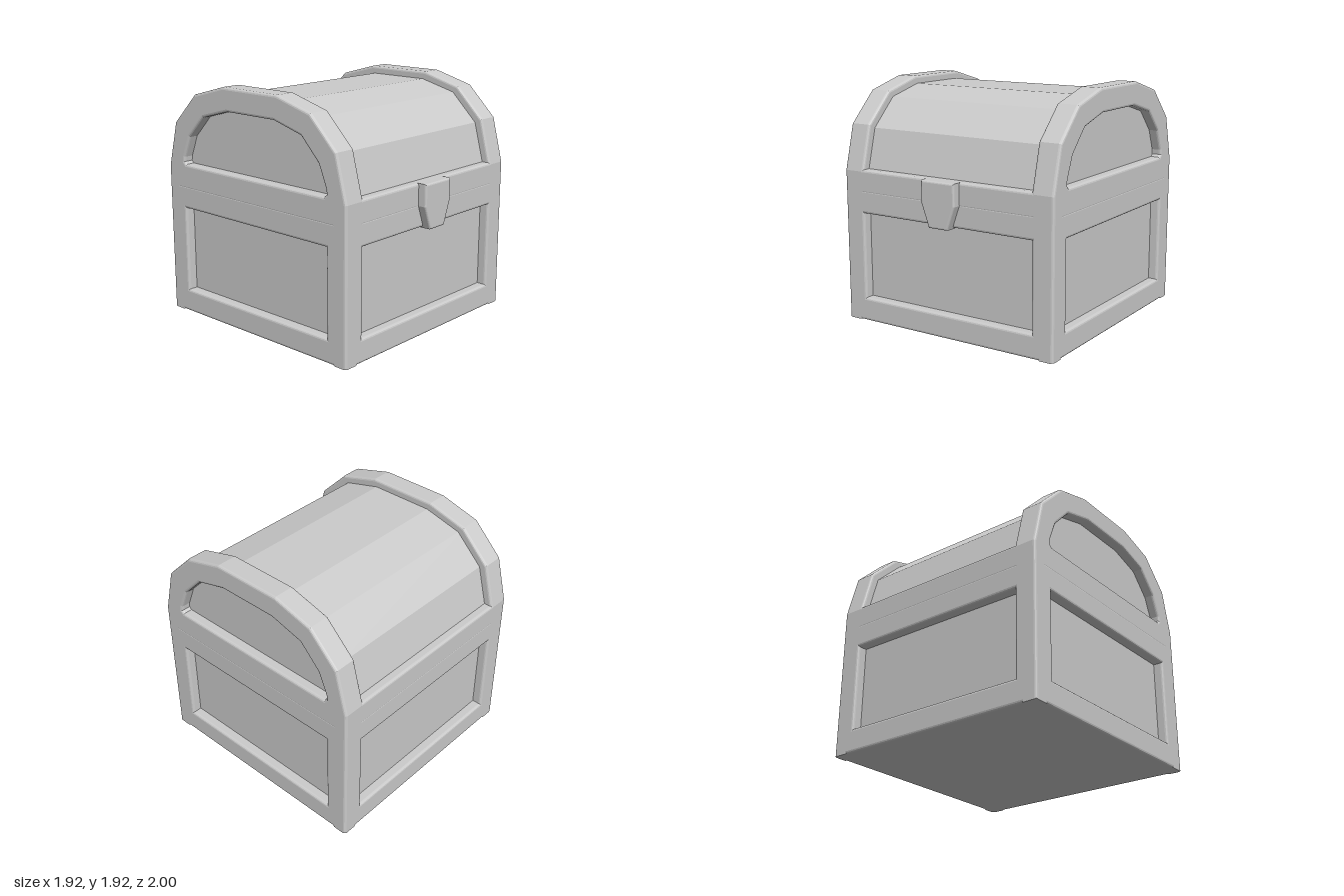
import * as THREE from 'three';

const W = 0.96, D = 0.965;      // half width and half depth of the chest
const RECESS = 0.08;            // depth of the sunken panels
const BEVEL = 0.02;
const material = new THREE.MeshStandardMaterial({ color: 0xcccccc });

const points = list => list.map(([x, y]) => new THREE.Vector2(x, y));
const rect = (w, y0, y1) => points([[-w, y0], [w, y0], [w, y1], [-w, y1]]);

// Closed symmetric outline from its right half, listed bottom to top
const mirrored = half => points([...half, ...half.map(([x, y]) => [-x, y]).reverse()]);

function addMesh(parent, name, geometry) {
  const mesh = new THREE.Mesh(geometry, material);
  mesh.name = name;
  parent.add(mesh);
}

// Bevelled slab whose outer face lies at distance `face`, turned about y
function slab(outline, hole, thickness, face, angle, bevel = BEVEL) {
  const shape = new THREE.Shape(outline);
  if (hole) shape.holes.push(new THREE.Path(hole));
  const geometry = new THREE.ExtrudeGeometry(shape, {
    depth: thickness - 2 * bevel,
    bevelThickness: bevel, bevelSize: bevel, bevelOffset: -bevel, bevelSegments: 3,
  });
  geometry.translate(0, 0, face - thickness + bevel);
  return geometry.rotateY(angle);
}

export function createModel() {
  const model = new THREE.Group();
  model.name = 'chest';
  const body = new THREE.Group();
  body.name = 'body';
  const lid = new THREE.Group();
  lid.name = 'lid';
  body.position.z = lid.position.z = -0.035;
  model.add(body, lid);

  // Body core: its sides show as the sunken panels
  const core = new THREE.BoxGeometry(2 * (W - RECESS), 1.06, 2 * (D - RECESS));
  addMesh(body, 'bodyPanels', core.translate(0, 0.53, 0));

  // Four frames around the body panels
  const walls = [
    ['frontFrame', W, D, 0.78, 0], ['leftFrame', D, W, 0.775, Math.PI / 2],
    ['backFrame', W, D, 0.78, Math.PI], ['rightFrame', D, W, 0.775, -Math.PI / 2],
  ];
  for (const [name, half, face, opening, angle] of walls) {
    addMesh(body, name,
      slab(rect(half, 0, 1.075), rect(opening, 0.19, 0.885), 0.13, face, angle));
  }

  // Faceted barrel of the lid, its ends show inside the arches
  const barrel = mirrored([[0.895, 1.06], [0.895, 1.23], [0.81, 1.55], [0.58, 1.775], [0.265, 1.855]]);
  const barrelGeometry = new THREE.ExtrudeGeometry(new THREE.Shape(barrel),
    { depth: 2 * (W - RECESS), bevelEnabled: false });
  barrelGeometry.translate(0, 0, -(W - RECESS)).rotateY(Math.PI / 2);
  addMesh(lid, 'lidBarrel', barrelGeometry);

  // Raised arches at both ends of the lid
  const arch = mirrored([[D, 1.045], [D, 1.22], [0.872, 1.58], [0.625, 1.825], [0.29, 1.917]]);
  const archHole = mirrored([[0.755, 1.25], [0.775, 1.27], [0.77, 1.31], [0.7, 1.48], [0.53, 1.655], [0.255, 1.73]]);
  addMesh(lid, 'leftArch', slab(arch, archHole, 0.185, W, Math.PI / 2));
  addMesh(lid, 'rightArch', slab(arch, archHole, 0.185, W, -Math.PI / 2));

  // Rails along the front and back of the lid
  const rail = rect(0.9, 1.045, 1.235);
  addMesh(lid, 'frontRail', slab(rail, null, 0.13, D, 0));
  addMesh(lid, 'backRail', slab(rail, null, 0.13, D, Math.PI));

  // Tapered latch hanging from the front rail
  const latch = mirrored([[0.085, 0.875], [0.152, 1.06], [0.152, 1.235]]);
  addMesh(lid, 'latch', slab(latch, null, 0.12, 1.035, 0, 0.015));

  return model;
}
